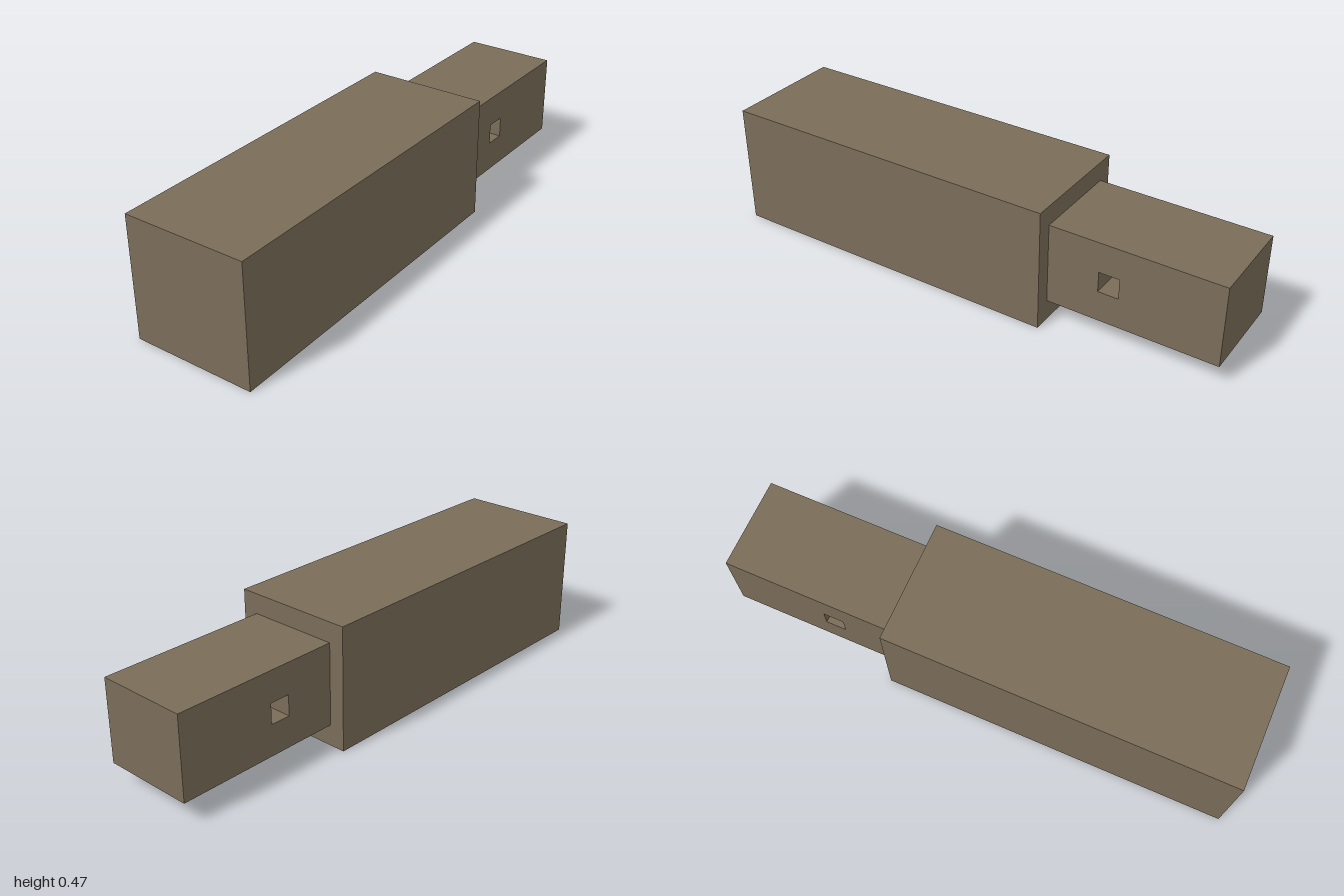
import * as THREE from 'three';

// Rectangle outline, usable as a shape or a hole
function rect(path, x0, y0, x1, y1) {
  path.moveTo(x0, y0);
  path.lineTo(x1, y0);
  path.lineTo(x1, y1);
  path.lineTo(x0, y1);
  path.closePath();
  return path;
}

export function createModel() {
  const group = new THREE.Group();
  group.name = 'tenonedBeam';
  const wood = new THREE.MeshStandardMaterial({ color: 0x7a6d59 });
  wood.name = 'brown wood';

  // Square beam
  const shoulder = 0.343;
  const size = 0.475;
  const beam = new THREE.Mesh(new THREE.BoxGeometry(1 + shoulder, size, size), wood);
  beam.name = 'beam';
  beam.position.set((shoulder - 1) / 2, size / 2, 0);
  group.add(beam);

  // Narrower tenon with a square peg hole running through it
  const depth = 0.356;
  const outline = rect(new THREE.Shape(), shoulder, 0.082, 1, 0.398);
  outline.holes.push(rect(new THREE.Path(), 0.541, 0.201, 0.62, 0.28));
  const geometry = new THREE.ExtrudeGeometry(outline, { depth, bevelEnabled: false });
  geometry.translate(0, 0, -depth / 2);
  const tenon = new THREE.Mesh(geometry, wood);
  tenon.name = 'tenon';
  group.add(tenon);

  return group;
}
